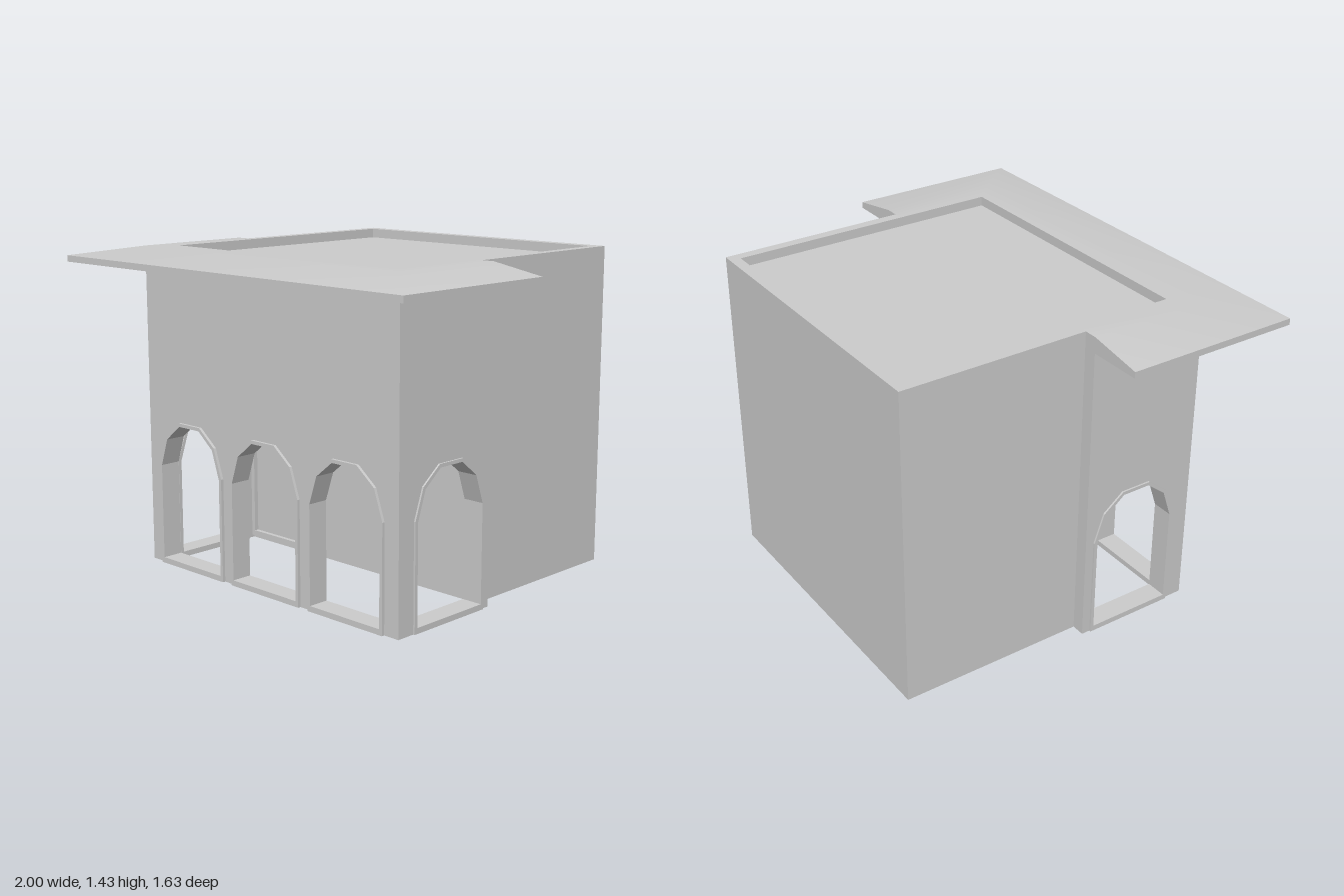
import * as THREE from 'three';
import { toCreasedNormals } from 'three/addons/utils/BufferGeometryUtils.js';

const mat = new THREE.MeshStandardMaterial({ color: 0xcccccc });
const V2 = (x, y) => new THREE.Vector2(x, y);

function add(parent, name, geo, x = 0, y = 0, z = 0, ry = 0) {
  const m = new THREE.Mesh(geo, mat);
  m.name = name;
  m.position.set(x, y, z);
  m.rotation.y = ry;
  parent.add(m);
}

const extrude = (shape, depth) => new THREE.ExtrudeGeometry(shape, { depth, bevelEnabled: false });

// Faceted arch, listed from bottom left over the top to bottom right
function archPoints(cx, inset = 0, base = 0) {
  const half = [[0.21 - inset, base], [0.21 - inset, 0.46 - inset * 0.3],
    [0.165 - inset * 0.8, 0.59 - inset * 0.7], [0.07 - inset * 0.3, 0.665 - inset]];
  return [...half.map(([x, y]) => V2(cx - x, y)), ...half.reverse().map(([x, y]) => V2(cx + x, y))];
}

// Wall whose outline steps up around each arched opening
function archedWall(x0, x1, h, centres, depth) {
  return extrude(new THREE.Shape([V2(x0, 0), ...centres.flatMap(c => archPoints(c)),
    V2(x1, 0), V2(x1, h), V2(x0, h)]), depth);
}

// Closed arch surround including its sill; the hole winds against the outline
function archFrame(cx, depth) {
  const s = new THREE.Shape(archPoints(cx));
  s.holes.push(new THREE.Path(archPoints(cx, 0.015, 0.025).reverse()));
  return extrude(s, depth);
}

// Three-sided eave: one cross-section swept around right, front and left
function eaveGeometry(zBack) {
  const section = [[0.655, 0.465, 1.36], [0.655, 0.465, 1.43], [0.76, 0.57, 1.43],
    [1, 0.815, 1.388], [1, 0.815, 1.36]];
  const stations = [[1, false], [1, true], [-1, true], [-1, false]];
  const n = section.length, pos = [], idx = [];
  for (const [side, front] of stations)
    for (const [x, z, y] of section) pos.push(side * x, y, front ? z : zBack);
  for (let s = 0; s < 3; s++)
    for (let i = 0; i < n; i++) {
      const a = s * n + i, b = s * n + (i + 1) % n;
      // The left strip takes the mirrored diagonal
      if (s === 2) idx.push(a, a + n, b, a + n, b + n, b);
      else idx.push(a, b + n, b, a, a + n, b + n);
    }
  // Back ends
  for (let i = 1; i < n - 1; i++) idx.push(0, i, i + 1, 3 * n, 3 * n + i + 1, 3 * n + i);
  const g = new THREE.BufferGeometry();
  g.setAttribute('position', new THREE.Float32BufferAttribute(pos, 3));
  g.setIndex(idx);
  return toCreasedNormals(g, 0.6);
}

export function createModel() {
  const model = new THREE.Group();
  model.name = 'building';
  const zJoin = 0.025, zBack = -0.815, deckY = 1.388, topY = 1.43, wallH = 1.36;

  // Main block with a low parapet around the sunken roof deck
  add(model, 'mainBlock', new THREE.BoxGeometry(1.4, deckY, zJoin - zBack), 0, deckY / 2, (zJoin + zBack) / 2);
  const parapet = extrude(new THREE.Shape([V2(-0.7, -zJoin), V2(-0.655, -zJoin), V2(-0.655, 0.767),
    V2(0.655, 0.767), V2(0.655, -zJoin), V2(0.7, -zJoin), V2(0.7, -zBack), V2(-0.7, -zBack)]), topY - deckY);
  parapet.rotateX(-Math.PI / 2);
  add(model, 'parapet', parapet, 0, deckY, 0);

  // Porch roof
  add(model, 'porchDeck', new THREE.BoxGeometry(1.31, deckY - wallH, 0.465 - zJoin),
    0, (deckY + wallH) / 2, (0.465 + zJoin) / 2);
  add(model, 'eave', eaveGeometry(zJoin));

  // Porch walls and arch surrounds
  const porch = new THREE.Group();
  porch.name = 'porch';
  model.add(porch);
  const t = 0.075, frameT = 0.095, sideArch = -0.274, centres = [-0.475, 0, 0.475];
  add(porch, 'frontWall', archedWall(-0.76, 0.76, wallH, centres, t), 0, 0, 0.57 - t);
  for (const c of centres) add(porch, 'frontArchFrame', archFrame(c, frameT), 0, 0, 0.583 - frameT);

  const sideWall = archedWall(-0.57 + t, -zJoin, wallH, [sideArch], t);
  const sideFrame = archFrame(sideArch, frameT);
  for (const [side, wallX, frameX] of [['left', 0.76 - t, 0.768 - frameT], ['right', -0.76, -0.768]]) {
    add(porch, side + 'Wall', sideWall, wallX, 0, 0, Math.PI / 2);
    add(porch, side + 'ArchFrame', sideFrame, frameX, 0, 0, Math.PI / 2);
  }

  // Door set against the main block
  const door = new THREE.Group();
  door.name = 'door';
  door.position.set(-0.485, 0, zJoin);
  model.add(door);
  const rect = (w, y0, y1) => [V2(-w, y0), V2(w, y0), V2(w, y1), V2(-w, y1)];
  const surround = new THREE.Shape(rect(0.18, 0.02, 0.555));
  surround.holes.push(new THREE.Path(rect(0.16, 0.045, 0.535).reverse()));
  add(door, 'doorFrame', extrude(surround, 0.03));
  add(door, 'doorPanel', new THREE.BoxGeometry(0.32, 0.49, 0.01), 0, 0.29, 0.005);
  return model;
}
